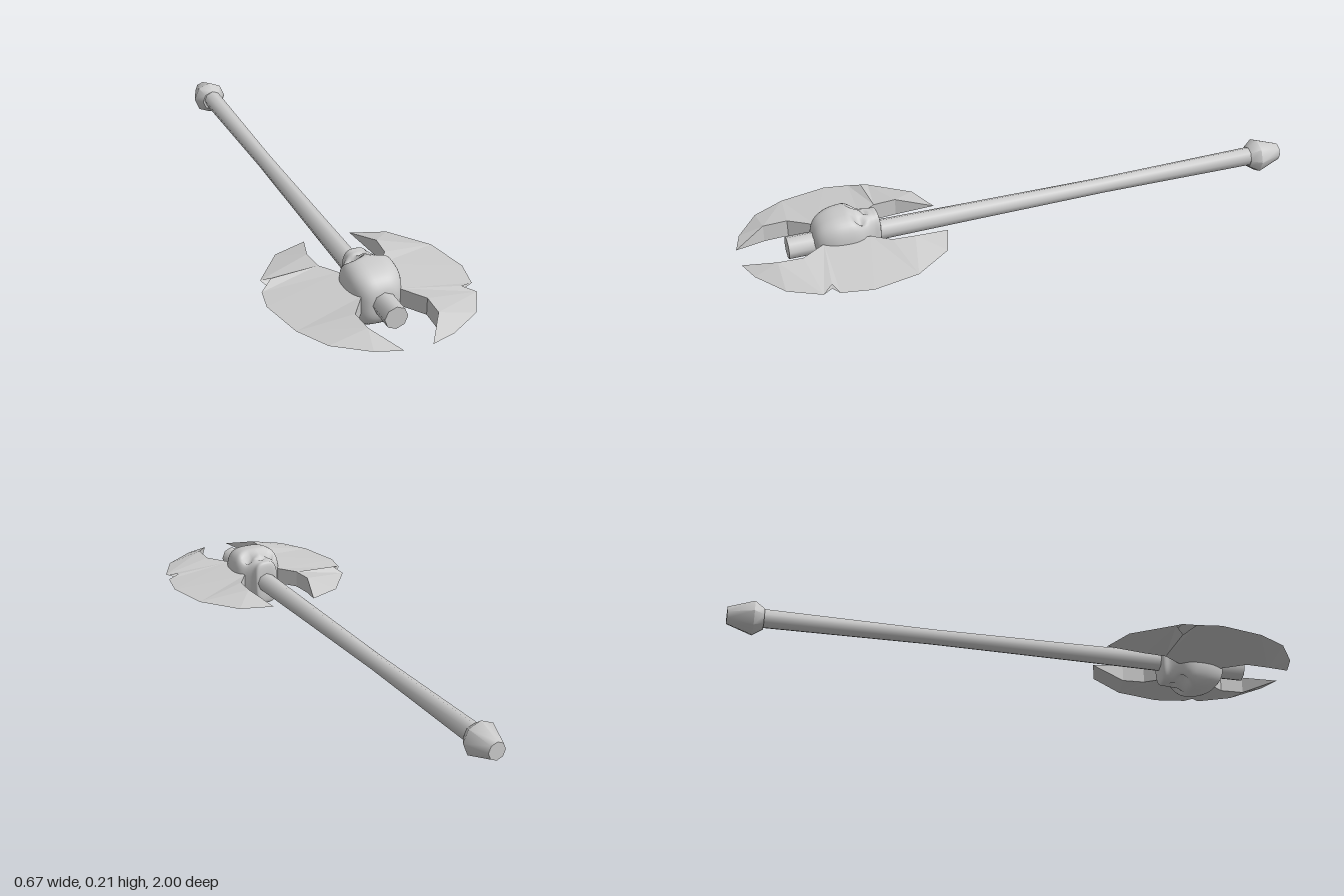
import * as THREE from 'three';
import { toCreasedNormals } from 'three/addons/utils/BufferGeometryUtils.js';

const MID = 0.11; // height of the plane the axe lies in
const grey = new THREE.MeshStandardMaterial({ color: 0xcccccc });
const greyDouble = new THREE.MeshStandardMaterial({ color: 0xcccccc, side: THREE.DoubleSide });

function add(group, name, geometry, material = grey) {
  const mesh = new THREE.Mesh(geometry, material);
  mesh.name = name;
  mesh.position.y = MID;
  group.add(mesh);
  return mesh;
}

// Turned part lying along z, profile given as [radius, z] from back to front
function turned(profile) {
  const pts = profile.map(([r, z]) => new THREE.Vector2(r, z));
  return toCreasedNormals(new THREE.LatheGeometry(pts, 8).rotateX(Math.PI / 2), 0.9);
}

// Blade: thick inner chain zipped to a sharp outer chain; points are [x, z, half thickness]
function bladeGeometry(inner, outer, side) {
  const pos = [];
  const tri = (a, b, c) => pos.push(...(side > 0 ? [a, b, c] : [a, c, b]).flat());
  const up = ([x, z, t = 0]) => [side * x, t, z];
  const down = ([x, z, t = 0]) => [side * x, -t, z];
  const face = (a, b, c) => {
    tri(up(a), up(b), up(c));
    tri(down(a), down(c), down(b));
  };
  let i = 0, o = 0;
  while (i < inner.length - 1 || o < outer.length - 1) {
    const stepInner = o === outer.length - 1 ||
      (i < inner.length - 1 && inner[i + 1][1] < outer[o + 1][1]);
    if (stepInner) {
      const a = inner[i], b = inner[i + 1];
      face(a, b, outer[o]);
      // wall along the inner edge
      tri(up(a), down(a), down(b));
      tri(up(a), down(b), up(b));
      i++;
    } else {
      face(inner[i], outer[o + 1], outer[o]);
      o++;
    }
  }
  const geo = new THREE.BufferGeometry();
  geo.setAttribute('position', new THREE.Float32BufferAttribute(pos, 3));
  geo.computeVertexNormals();
  return geo;
}

// Two skulls back to back: rounded-square rings along z, with sockets pressed in
function skullGeometry() {
  const stations = [ // half width, half height, z
    [0.002, 0.002, 0.757], [0.045, 0.05, 0.75], [0.07, 0.08, 0.728], [0.087, 0.099, 0.69],
    [0.092, 0.106, 0.645], [0.09, 0.107, 0.618], [0.082, 0.098, 0.595], [0.064, 0.086, 0.572],
    [0.049, 0.082, 0.55], [0.045, 0.082, 0.532], [0.038, 0.065, 0.525], [0.002, 0.002, 0.525],
  ].map(p => new THREE.Vector3(...p));
  const dents = [ // x, z, radius, depth
    [0.042, 0.6, 0.02, 0.036], [-0.042, 0.6, 0.02, 0.036], [0, 0.573, 0.01, 0.014],
  ];
  const curve = new THREE.CatmullRomCurve3(stations, false, 'centripetal');
  const rings = 44, segs = 40, pos = [], index = [];
  const power = v => Math.sign(v) * Math.pow(Math.abs(v), 0.65);
  for (let i = 0; i <= rings; i++) {
    const s = curve.getPoint(i / rings);
    for (let j = 0; j < segs; j++) {
      const a = (j / segs) * Math.PI * 2;
      const x = s.x * power(Math.cos(a));
      let y = s.y * power(Math.sin(a));
      let press = 0;
      for (const [dx, dz, r, depth] of dents) {
        press += depth * Math.exp(-((x - dx) ** 2 + (s.z - dz) ** 2) / (r * r));
      }
      y = Math.sign(y) * Math.max(0, Math.abs(y) - press * Math.min(1, Math.abs(y) / 0.06));
      pos.push(x, y, s.z);
      if (i < rings) {
        const k = i * segs + j, n = i * segs + (j + 1) % segs;
        index.push(k, k + segs, n, k + segs, n + segs, n);
      }
    }
  }
  const geo = new THREE.BufferGeometry();
  geo.setAttribute('position', new THREE.Float32BufferAttribute(pos, 3));
  geo.setIndex(index);
  geo.computeVertexNormals();
  return geo;
}

export function createModel() {
  const group = new THREE.Group();
  group.name = 'battleAxe';

  // Shaft, slimmest in the middle
  const shaft = add(group, 'shaft', turned([
    [0, -0.92], [0.034, -0.9], [0.028, -0.3], [0.032, 0.2], [0.035, 0.5], [0.039, 0.7], [0.039, 0.84], [0, 0.84],
  ]));
  shaft.position.set(0.003, MID + 0.004, 0);

  // Pommel
  add(group, 'pommel', turned([
    [0, -1], [0.031, -1], [0.062, -0.912], [0.038, -0.878], [0, -0.878],
  ]));

  add(group, 'skulls', skullGeometry());

  // Blades: shared inner edge, each outer edge with its own notch
  const T = 0.03;
  const tipBack = [0.082, 0.304], tipFront = [0.047, 1];
  const inner = [
    tipBack, [0.122, 0.43, T], [0.116, 0.508, T], [0.072, 0.57, T],
    [0.063, 0.727, T], [0.12, 0.81, T], [0.116, 0.893, T], tipFront,
  ];
  const leftOuter = [
    tipBack, [0.2, 0.343], [0.3, 0.474], [0.333, 0.632], [0.312, 0.738],
    [0.268, 0.754, 0.008], [0.303, 0.79], [0.243, 0.897], [0.129, 0.973], tipFront,
  ];
  const rightOuter = [
    tipBack, [0.2, 0.347], [0.302, 0.48], [0.278, 0.512, 0.02], [0.322, 0.548],
    [0.337, 0.632], [0.303, 0.79], [0.243, 0.897], [0.132, 0.974], tipFront,
  ];
  add(group, 'leftBlade', bladeGeometry(inner, leftOuter, 1), greyDouble);
  add(group, 'rightBlade', bladeGeometry(inner, rightOuter, -1), greyDouble);

  return group;
}
